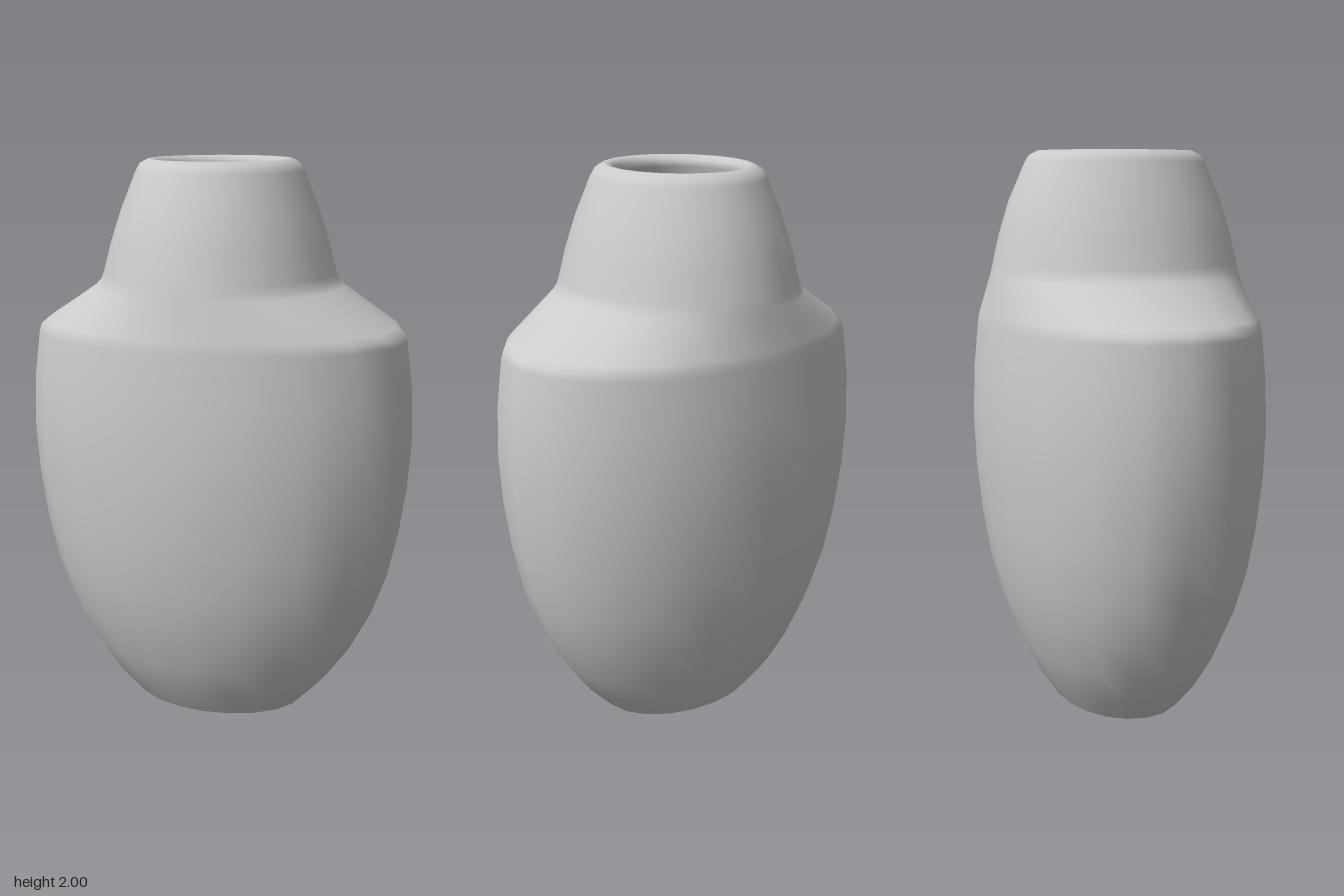
import * as THREE from 'three';

const SIDES = 20;

// Outer cross-sections from foot to lip: [height, half width in x, half depth in z]
const OUTER = [
  [0, 0.32, 0.226], [0.1, 0.415, 0.295], [0.22, 0.5, 0.355], [0.37, 0.577, 0.41],
  [0.52, 0.63, 0.448], [0.69, 0.667, 0.475], [0.87, 0.692, 0.493], [1.05, 0.703, 0.5],
  [1.23, 0.695, 0.494], [1.39, 0.674, 0.479], [1.415, 0.665, 0.476], [1.435, 0.64, 0.473],
  [1.565, 0.44, 0.449], [1.585, 0.42, 0.445], [1.61, 0.41, 0.44], [1.71, 0.384, 0.417],
  [1.83, 0.344, 0.38], [1.96, 0.292, 0.322], [1.985, 0.278, 0.306], [2, 0.25, 0.278],
];

// Lip rolled over into the mouth
const LIP = [[2, 0.235, 0.255], [1.985, 0.215, 0.238], [1.96, 0.213, 0.235]];

// Skin of elliptical rings, closed around and open at both ends
function loft(rings) {
  const positions = [], index = [];
  rings.forEach(([y, rx, rz], r) => {
    for (let i = 0; i < SIDES; i++) {
      const a = (i / SIDES) * Math.PI * 2;
      positions.push(rx * Math.cos(a), y, rz * Math.sin(a));
      if (r === 0) continue;
      const j = (i + 1) % SIDES, lo = (r - 1) * SIDES, hi = r * SIDES;
      index.push(lo + i, hi + i, hi + j, lo + i, hi + j, lo + j);
    }
  });
  const geometry = new THREE.BufferGeometry();
  geometry.setAttribute('position', new THREE.Float32BufferAttribute(positions, 3));
  geometry.setIndex(index);
  geometry.computeVertexNormals();
  return geometry;
}

export function createModel() {
  const group = new THREE.Group();
  group.name = 'vase';
  const material = new THREE.MeshStandardMaterial({ color: 0xcccccc, side: THREE.DoubleSide });

  // Inner wall follows the outer one, thinning to nothing at the open foot
  const inner = OUTER.filter(([y]) => y < 1.9).reverse().map(([y, rx, rz]) => {
    const t = 0.08 * Math.min(1, y / 0.6);
    return [y, rx - t, rz - t];
  });

  const body = new THREE.Mesh(loft([...OUTER, ...LIP, ...inner]), material);
  body.name = 'vaseBody';
  group.add(body);
  return group;
}
